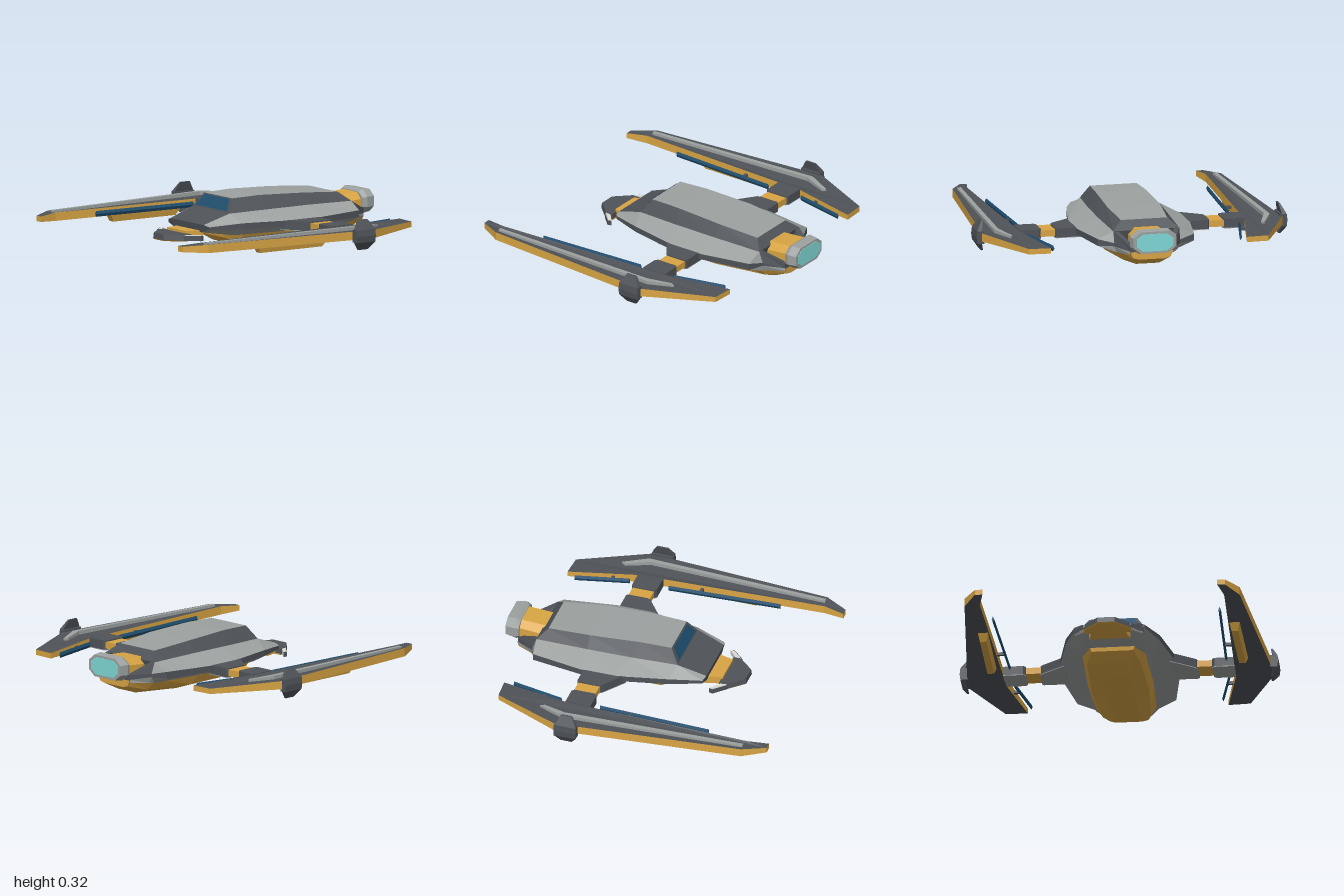
import * as THREE from 'three';
import { ConvexGeometry } from 'three/addons/geometries/ConvexGeometry.js';

const paint = (name, color) => {
  const m = new THREE.MeshStandardMaterial({ color, side: THREE.DoubleSide, flatShading: true });
  m.name = name;
  return m;
};

export function createModel() {
  const light = paint('lightGrey', 0x9ca1a0);
  const dark = paint('darkGrey', 0x4f5358);
  const gold = paint('gold', 0xd9a544);
  const blue = paint('blueGlass', 0x1f4e6f);
  const teal = paint('tealGlow', 0x80dad7);
  const pale = paint('paleGrey', 0xdcdad5);

  const model = new THREE.Group();
  model.name = 'ship';
  const add = (name, geo, mat) => {
    const mesh = new THREE.Mesh(geo, mat);
    mesh.name = name;
    model.add(mesh);
  };
  const flip = (rail) => rail.map(([x, y, z]) => [-x, y, z]);

  // Open surface between neighbouring rails (lists of points of equal length)
  const panel = (name, mat, rails) => {
    const pos = [];
    for (let r = 0; r + 1 < rails.length; r++) {
      for (let i = 0; i + 1 < rails[r].length; i++) {
        const a = rails[r][i], b = rails[r][i + 1], c = rails[r + 1][i + 1], d = rails[r + 1][i];
        pos.push(...a, ...b, ...c, ...a, ...c, ...d);
      }
    }
    const g = new THREE.BufferGeometry();
    g.setAttribute('position', new THREE.Float32BufferAttribute(pos, 3));
    g.computeVertexNormals();
    add(name, g, mat);
  };
  const pair = (name, mat, rails) => {
    panel(name + 'Left', mat, rails);
    panel(name + 'Right', mat, rails.map(flip).reverse());
  };
  const across = (name, mat, rails) =>
    panel(name, mat, [...rails, ...rails.map(flip).reverse()]);
  const solid = (name, mat, pts) =>
    add(name, new ConvexGeometry(pts.map((p) => new THREE.Vector3(...p))), mat);
  const box = (name, mat, [x0, x1], [y0, y1], [z0, z1]) => {
    const g = new THREE.BoxGeometry(x1 - x0, y1 - y0, z1 - z0);
    g.translate((x0 + x1) / 2, (y0 + y1) / 2, (z0 + z1) / 2);
    add(name, g, mat);
  };
  // Horizontal slab from an (x, z) outline, with an optional rule giving y from (y, z)
  const slab = (outline, y0, y1, s, rule = (y) => y) => {
    const shape = new THREE.Shape(outline.map(([x, z]) => new THREE.Vector2(s * x, -z)));
    const g = new THREE.ExtrudeGeometry(shape, { depth: y1 - y0, bevelEnabled: false });
    g.rotateX(-Math.PI / 2);
    g.translate(0, y0, 0);
    const p = g.attributes.position;
    for (let i = 0; i < p.count; i++) p.setY(i, rule(p.getY(i), p.getZ(i)));
    g.computeVertexNormals();
    return g;
  };

  // Hull rails, nose to tail
  const roof = [[.15, .32, .13], [.16, .325, -.07], [.17, .312, -.4], [.15, .29, -.68]];
  const shoulder = [[.175, .175, .367], [.2, .235, .185], [.22, .24, -.12], [.225, .242, -.4], [.212, .235, -.74]];
  const edge = [[.22, .165, .355], [.295, .182, .155], [.365, .182, -.17], [.365, .182, -.4], [.31, .188, -.73], [.212, .165, -.765]];
  const lower = edge.map(([x, , z]) => [x, .145, z]);
  const rim = [[.15, .125, .36], [.2, .095, .15], [.205, .09, -.17], [.205, .09, -.4], [.2, .1, -.73], [.195, .105, -.765], [.14, .115, -.885]];
  const tailTop = [.14, .165, -.885], tailLow = [.14, .135, -.885];

  across('roof', light, [roof]);
  pair('cabinSide', dark, [roof, shoulder.slice(1)]);
  pair('shoulder', light, [shoulder, edge.slice(0, 5)]);
  pair('shoulderBack', light, [[shoulder[4], shoulder[4]], edge.slice(4)]);
  pair('hullEdge', dark, [edge, lower]);
  pair('underside', light, [[...lower, tailLow], rim]);
  across('undersideFloor', light, [rim]);

  // Nose and windscreen
  across('noseTop', dark, [[shoulder[0], shoulder[1]]]);
  pair('noseCorner', dark, [[edge[0], shoulder[0]], [lower[0], rim[0]]]);
  across('noseFront', dark, [[shoulder[0], rim[0]]]);
  across('windscreenFrame', dark, [[roof[0], shoulder[1]]]);
  across('windscreen', blue, [[[.132, .314, .14], [.17, .246, .184]]]);

  // Tail with engine recess
  const inner = [[.18, .235, -.735], [.11, .165, -.865]];
  const floor = [[.155, .15, -.72], [.1, .13, -.865]];
  pair('tailSide', dark, [[shoulder[4], tailTop], [edge[5], tailLow], [lower[5], tailLow]]);
  across('tailDeck', dark, [[shoulder[4], tailTop], inner, floor]);
  across('roofBack', dark, [[roof[3], shoulder[4], floor[0]]]);
  across('tailEnd', dark, [[tailTop, tailLow, rim[6]]]);

  // Belly
  const bellyRim = [[.14, .1, .185], [.2, .095, .08], [.207, .09, -.35], [.2, .115, -.72], [.14, .13, -.888]];
  const bellyMid = [[.13, .075, .18], [.17, .035, .07], [.18, .032, -.38], [.15, .05, -.74], [.12, .09, -.888]];
  const bellyLow = [[.08, .03, .115], [.09, .005, -.05], [.09, 0, -.43], [.075, .025, -.77], [.08, .08, -.888]];
  across('belly', gold, [bellyRim, bellyMid, bellyLow]);
  across('bellyFront', gold, [[bellyRim[0], bellyMid[0], bellyLow[0]]]);
  across('bellyBack', gold, [[bellyRim[4], bellyMid[4], bellyLow[4]]]);

  // Engine
  const oct = (w, y0, y1, z) => {
    const c = (y1 - y0) * .28;
    return [1, -1].flatMap((s) => [[s * w * .65, y1, z], [s * w, y1 - c, z], [s * w, y0 + c, z], [s * w * .65, y0, z]]);
  };
  solid('engineNeck', gold, [...oct(.115, .1, .25, -.72), ...oct(.115, .12, .262, -.895)]);
  solid('engineNozzle', light, [...oct(.135, .14, .265, -.882), ...oct(.148, .128, .28, -.91), ...oct(.138, .135, .274, -.968)]);
  solid('engineGlow', teal, [...oct(.118, .15, .26, -.965), ...oct(.118, .15, .26, -.971)]);

  // Front sensor head
  solid('sensorNeck', gold, [1, -1].flatMap((s) => [.085, .135].flatMap((y) => [[s * .13, y, .34], [s * .1, y, .45]])));
  const head = [[.15, .44], [.15, .49], [.055, .59]];
  const headPts = (y0, y1, k) => [1, -1].flatMap((s) => head.flatMap(([x, z]) => [[s * x, y0, z], [s * x * k, y1, .44 + (z - .44) * k]]));
  solid('sensorHead', dark, headPts(.086, .12, .97));
  solid('sensorHeadBase', gold, headPts(.086, .078, .95));

  for (const s of [1, -1]) {
    const side = s > 0 ? 'left' : 'right';
    const sx = (pts) => pts.map(([x, y, z]) => [s * x, y, z]);
    const span = (a, b) => (s > 0 ? [a, b] : [-b, -a]);

    // Mandible with a dark outer skin
    solid(side + 'Mandible', pale, sx([.086, .118].flatMap((y) => [[.145, y, .492], [.15, y, .45], [.19, y, .425], [.212, y, .398], [.218, y, .42]])));
    pair(side + 'MandibleSkin', dark, [.084, .116].map((y) => sx([[.148, y, .496], [.222, y, .422], [.216, y, .396]])));

    // Wing arm with lighter undersides
    const root = [[.33, -.38], [.33, -.11], [.36, -.13], [.485, -.22], [.495, -.24], [.495, -.37], [.485, -.38]];
    const tip = [[.585, -.365], [.6, -.38], [.72, -.38], [.728, -.215], [.6, -.215], [.585, -.23]];
    for (const [name, outline] of [['ArmRoot', root], ['ArmTip', tip]]) {
      add(side + name, slab(outline, .126, .183, s), dark);
      add(side + name + 'Base', slab(outline, .121, .126, s), light);
    }
    box(side + 'ArmJoint', gold, span(.49, .59), [.133, .175], [-.37, -.23]);

    // Wing blade, thinner towards its ends
    const wing = [[.63, -.813], [.77, -.805], [.966, -.37], [.95, -.2], [.864, .82], [.785, .965],
      [.737, .965], [.767, .83], [.727, -.21], [.72, -.38]];
    add(side + 'Wing', slab(wing, .125, .178, s, (y, z) => (z > .9 || z < -.7 ? .15 + (y - .15) * .65 : y)), [dark, gold]);
    const ridge = [[.815, -.515], [.887, -.36], [.836, .82], [.81, .82], [.855, -.34], [.8, -.49]];
    add(side + 'WingRidge', slab(ridge, .165, .197, s, (y, z) => (y > .18 && (z > .8 || z < -.48) ? .185 : y)), light);

    // Keel under the wing
    solid(side + 'WingKeel', gold, sx([[.758, .77], [.822, .81]].flatMap(([a, b]) => [[a, .13, .41], [b, .08, .385], [b, .08, -.09], [a, .13, -.13]])));

    // Outer shield: a thick middle with thin tips curling inwards
    const bar = (y, x0, x1, h) => [x0, x1].flatMap((x) => [[s * x, y, -.295 - h], [s * x, y, -.295 + h]]);
    solid(side + 'Shield', dark, [...bar(.19, .95, .995, .072), ...bar(.15, .95, 1, .072), ...bar(.11, .95, .995, .072)]);
    for (const [name, y0, y1] of [['Upper', .19, .25], ['Lower', .11, .06]]) {
      solid(side + 'Shield' + name, dark, [...bar(y0, .965, .995, .072), ...bar(y1, .95, .962, .035)]);
    }

    // Blue inner blades on small struts
    const blade = (name, a, b) => solid(side + name, blue, sx([a, b].flatMap(([x, z]) =>
      [[x, .134, z], [x - .008, .152, z], [x + .008, .152, z], [x, .17, z]])));
    blade('FrontBlade', [.68, -.165], [.712, .56]);
    blade('RearBlade', [.603, -.757], [.677, -.42]);
    box(side + 'FrontStrut', dark, span(.685, .75), [.142, .16], [-.05, -.03].map((z) => z + .08));
    box(side + 'RearStrut', dark, span(.652, .72), [.142, .16], [-.54, -.52]);
  }
  return model;
}
